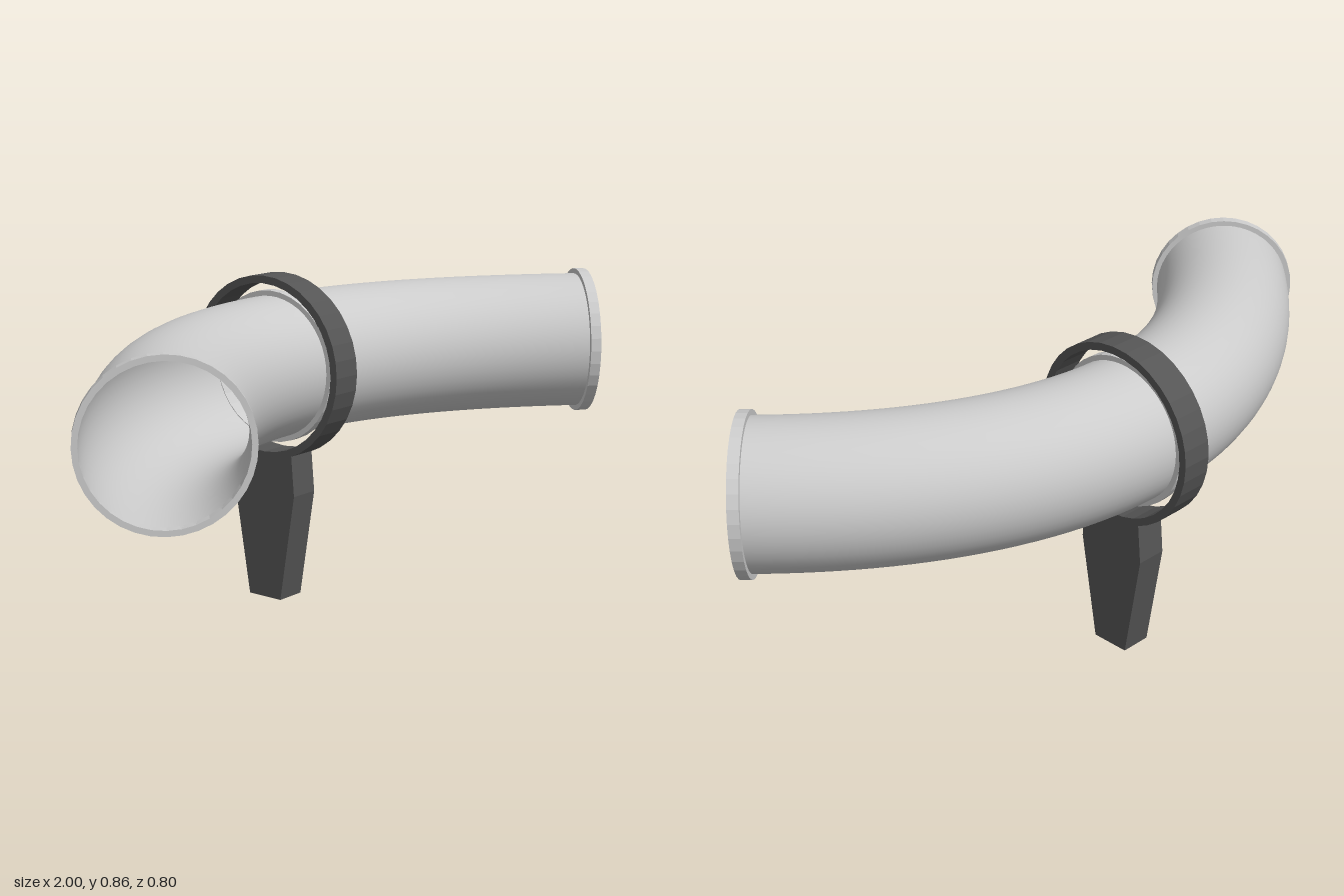
import * as THREE from 'three';

const AXIS_Y = 0.62; // height of the pipe's centre line
const MID_Z = -0.161; // depth of the pipe's centre line at the middle

export function createModel() {
  const model = new THREE.Group();
  const grey = new THREE.MeshStandardMaterial({ color: 0xcccccc });
  const greyOpen = new THREE.MeshStandardMaterial({ color: 0xcccccc, side: THREE.DoubleSide });
  const dark = new THREE.MeshStandardMaterial({ color: 0x555555 });

  function add(name, geometry, material) {
    const mesh = new THREE.Mesh(geometry, material);
    mesh.name = name;
    model.add(mesh);
    return mesh;
  }

  // extrusion centred on its own depth
  function plate(shape, depth) {
    return new THREE.ExtrudeGeometry(shape, { depth, bevelEnabled: false, curveSegments: 18 })
      .translate(0, 0, -depth / 2);
  }

  // flat ring placed on the pipe, turned to face along it
  function ring(name, outer, inner, depth, x, z, turn, material) {
    const shape = new THREE.Shape().absarc(0, 0, outer, 0, Math.PI * 2);
    shape.holes.push(new THREE.Path().absarc(0, 0, inner, 0, Math.PI * 2, true));
    const mesh = add(name, plate(shape, depth), material);
    mesh.position.set(x, AXIS_Y, z);
    mesh.rotation.y = turn;
  }

  // open curved pipe
  const endX = 0.85, endZ = 0.249, k = (endZ - MID_Z) / 0.75;
  const path = new THREE.CubicBezierCurve3(
    new THREE.Vector3(-endX, AXIS_Y, endZ),
    new THREE.Vector3(-endX + k, AXIS_Y, endZ - k),
    new THREE.Vector3(endX - k, AXIS_Y, endZ - k),
    new THREE.Vector3(endX, AXIS_Y, endZ)
  );
  add('pipe', new THREE.TubeGeometry(path, 48, 0.186, 48), greyOpen);

  // flanges at both mouths, and the collar inside the clamp
  for (const side of [-1, 1]) {
    ring(side > 0 ? 'leftFlange' : 'rightFlange', 0.2, 0.186, 0.028,
      side * endX, endZ, side * Math.PI / 4, grey);
  }
  ring('middleCollar', 0.2, 0.184, 0.028, 0, MID_Z, Math.PI / 2, grey);

  // clamp ring of the support
  ring('clampRing', 0.242, 0.222, 0.084, 0, MID_Z, Math.PI / 2, dark);

  // tapered post under the clamp
  const post = new THREE.Shape([
    [-0.053, 0], [0.053, 0], [0.101, 0.29], [0.092, 0.398], [-0.092, 0.398], [-0.101, 0.29],
  ].map(([x, y]) => new THREE.Vector2(x, y)));
  const postMesh = add('supportPost', plate(post, 0.084), dark);
  postMesh.position.z = MID_Z;
  postMesh.rotation.y = Math.PI / 2;

  return model;
}
